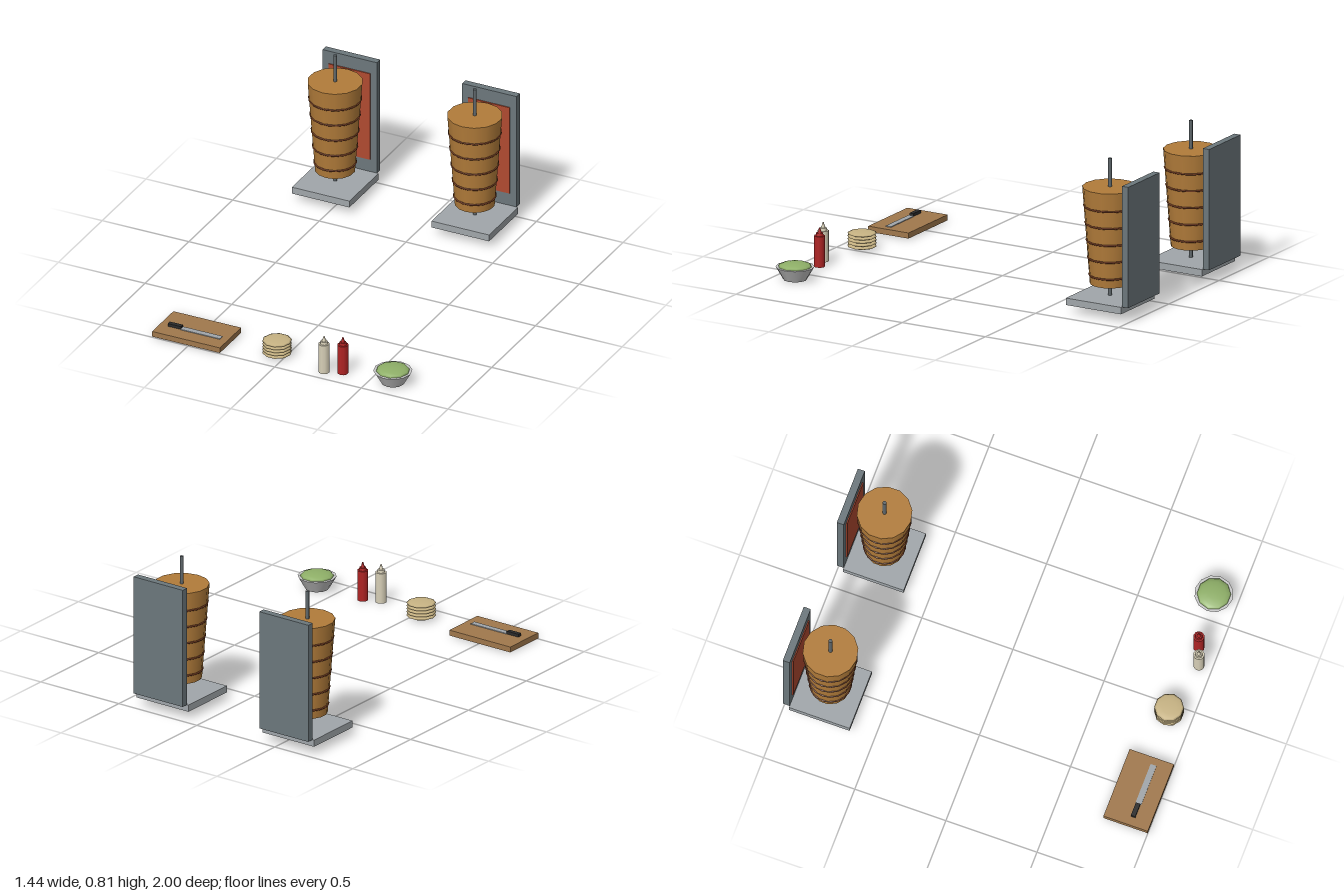
import * as THREE from 'three';

const mat = (color) => new THREE.MeshStandardMaterial({ color });
const steel = mat(0x6c777c), lightSteel = mat(0xa0a6aa), rod = mat(0x60686c);
const meatMat = mat(0xb27c3a), crustMat = mat(0x70391f), heatMat = mat(0xb04a30);
const wood = mat(0xa0784c), black = mat(0x2a2a2a), breadMat = mat(0xc8b484);
const bowlMat = mat(0xcccccc), saladMat = mat(0x8fb068);

function add(parent, name, geometry, material, x, y, z) {
  const mesh = new THREE.Mesh(geometry, material);
  mesh.name = name;
  mesh.position.set(x, y, z);
  parent.add(mesh);
  return mesh;
}

// Box given by its lower and upper corners
function box(parent, name, material, [x0, y0, z0], [x1, y1, z1]) {
  return add(parent, name, new THREE.BoxGeometry(x1 - x0, y1 - y0, z1 - z0), material,
    (x0 + x1) / 2, (y0 + y1) / 2, (z0 + z1) / 2);
}

// Upright cylinder or cone frustum between two heights
function post(parent, name, material, rTop, rBottom, y0, y1, sides) {
  return add(parent, name, new THREE.CylinderGeometry(rTop, rBottom, y1 - y0, sides), material,
    0, (y0 + y1) / 2, 0);
}

function group(parent, name, x, z) {
  const g = new THREE.Group();
  g.name = name;
  g.position.set(x, 0, z);
  parent.add(g);
  return g;
}

// Vertical grill: base, back plate, heater, spit and stacked meat
function makeGrill(parent, x) {
  const g = group(parent, 'verticalGrill', x, -0.796);
  box(g, 'grillBase', lightSteel, [-0.166, 0.043, -0.166], [0.166, 0.08, 0.166]);
  box(g, 'backPlate', steel, [-0.157, 0.08, -0.204], [0.157, 0.728, -0.166]);
  box(g, 'heater', heatMat, [-0.12, 0.152, -0.168], [0.12, 0.656, -0.16]);
  post(g, 'spit', rod, 0.01, 0.01, 0.08, 0.815, 8);
  post(g, 'meatCone', meatMat, 0.144, 0.105, 0.145, 0.663, 14);
  for (let i = 0; i < 5; i++) {
    const band = new THREE.TorusGeometry(0.108 + i * 0.0067, 0.0055, 6, 18);
    add(g, 'meatBand', band, crustMat, 0, 0.193 + i * 0.0927, 0).rotation.x = Math.PI / 2;
  }
}

// Squeeze bottle with a shoulder cap and tapered nozzle
function makeBottle(parent, name, x, z, color) {
  const g = group(parent, name, x, z);
  const m = mat(color);
  post(g, 'bottleBody', m, 0.029, 0.029, 0, 0.165, 10);
  post(g, 'bottleCap', m, 0.018, 0.02, 0.165, 0.18, 10);
  post(g, 'nozzle', m, 0.003, 0.011, 0.18, 0.208, 8);
}

export function createModel() {
  const model = new THREE.Group();
  model.name = 'kebabStation';

  for (const x of [-0.558, 0.248]) makeGrill(model, x);

  // Cutting board with knife
  box(model, 'cuttingBoard', wood, [-0.707, 0.004, 0.757], [-0.316, 0.034, 1.0]);
  box(model, 'knifeHandle', black, [-0.66, 0.034, 0.89], [-0.585, 0.05, 0.914]);
  box(model, 'knifeBlade', lightSteel, [-0.585, 0.034, 0.887], [-0.357, 0.038, 0.919]);

  // Stack of flatbreads
  const stack = group(model, 'breadStack', -0.049, 0.875);
  for (let i = 0; i < 5; i++) {
    const bread = new THREE.SphereGeometry(0.077, 10, 6).scale(1, 0.12, 1);
    add(stack, 'flatbread', bread, breadMat, 0, 0.016 + i * 0.017, 0);
  }

  makeBottle(model, 'paleSauceBottle', 0.249, 0.929, 0xd8d0b8);
  makeBottle(model, 'redSauceBottle', 0.341, 0.895, 0xb02424);

  // Bowl filled with salad
  const bowl = group(model, 'saladBowl', 0.619, 0.875);
  post(bowl, 'bowl', bowlMat, 0.101, 0.061, 0.004, 0.073, 12);
  const salad = new THREE.SphereGeometry(0.088, 10, 4, 0, Math.PI * 2, 0, Math.PI / 2).scale(1, 0.25, 1);
  add(bowl, 'salad', salad, saladMat, 0, 0.073, 0);

  return model;
}
